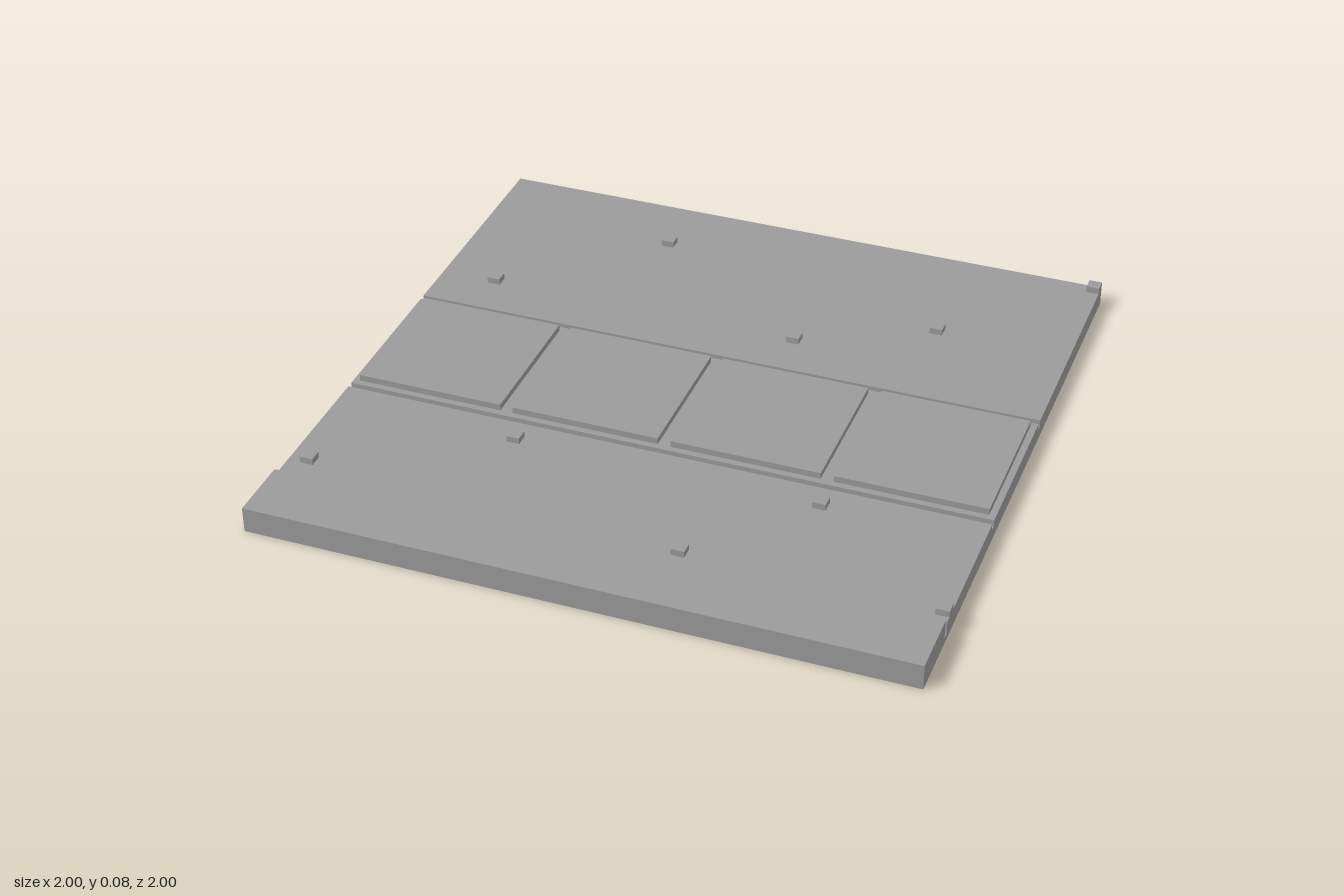
import * as THREE from 'three';

const material = new THREE.MeshStandardMaterial({ color: 0x9b9b9b, flatShading: true });
const SURFACE = 0.06;
const TOP = 0.08;

// Block standing on the base surface, centred on (x, z)
function raisedBlock(name, size, x, z) {
  const height = TOP - SURFACE;
  const mesh = new THREE.Mesh(new THREE.BoxGeometry(size, height, size), material);
  mesh.name = name;
  mesh.position.set(x, SURFACE + height / 2, z);
  return mesh;
}

export function createModel() {
  const model = new THREE.Group();
  model.name = 'groundPlate';

  // Base slab: (z, y) section with three grooves and a raised front strip, extruded along x
  const section = [[-1, 0], [1, 0], [1, TOP], [0.8, TOP]];
  const grooves = [[0.8, 0.78, 0.02], [0.32, 0.3, 0.04], [-0.2, -0.22, 0.04]];
  grooves.forEach(([front, back, floor], i) => {
    if (i > 0) section.push([front, SURFACE]);
    section.push([front, floor], [back, floor], [back, SURFACE]);
  });
  section.push([-1, SURFACE]);
  const shape = new THREE.Shape(section.map(([z, y]) => new THREE.Vector2(z, y)));
  const geometry = new THREE.ExtrudeGeometry(shape, { depth: 2, bevelEnabled: false });
  geometry.translate(0, 0, -1).rotateY(-Math.PI / 2);
  const base = new THREE.Mesh(geometry, material);
  base.name = 'baseSlab';
  model.add(base);

  // Row of four square paving slabs between the two shallow grooves
  const paving = new THREE.Group();
  paving.name = 'pavingSlabs';
  for (let i = 0; i < 4; i++) paving.add(raisedBlock('pavingSlab', 0.46, -0.75 + i * 0.5, 0.05));
  model.add(paving);

  // Small scattered stones
  const stones = new THREE.Group();
  stones.name = 'stones';
  const spots = [
    [0.98, -0.98], [-0.38, -0.78], [0.58, -0.58], [-0.82, -0.38], [0.18, -0.38],
    [-0.42, 0.4], [0.52, 0.4], [-0.94, 0.7], [0.22, 0.74], [0.98, 0.74],
  ];
  for (const [x, z] of spots) stones.add(raisedBlock('stone', 0.04, x, z));
  model.add(stones);

  return model;
}
